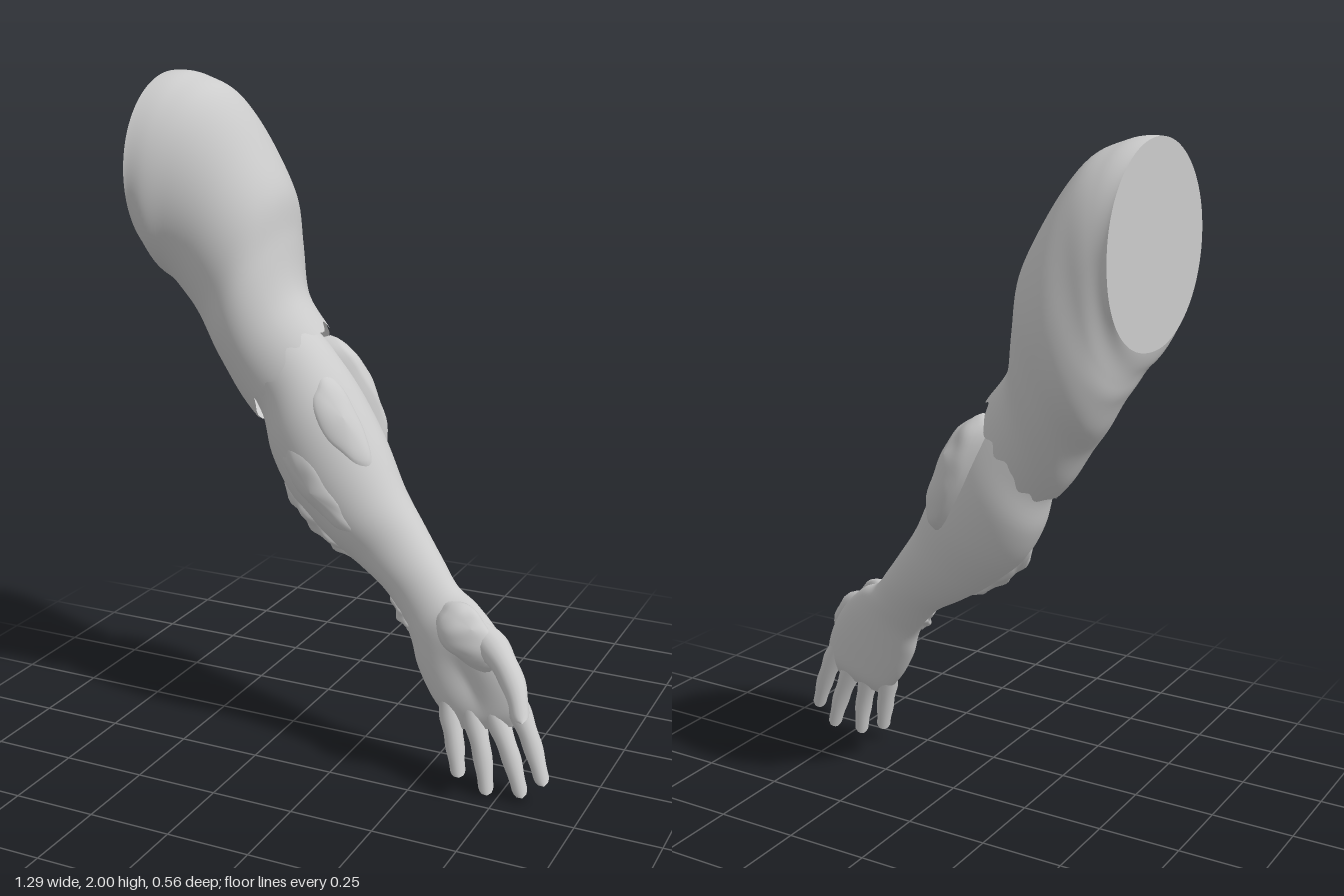
import * as THREE from 'three';

const skin = new THREE.MeshStandardMaterial({ color: 0xcccccc, side: THREE.DoubleSide });

// Cross-sections: outer edge x, y, inner edge x, y, back z, front z,
// x skew of the front, roundness of the inner back (below 1 is squarer)
const UPPER = [
  [-0.625, 1.997, -0.626, 1.44, -0.27, 0.23, -0.022, 0.9],
  [-0.55, 1.987, -0.608, 1.4, -0.27, 0.228, -0.018, 0.85],
  [-0.46, 1.945, -0.585, 1.36, -0.275, 0.2, -0.01, 0.8],
  [-0.36, 1.81, -0.56, 1.305, -0.28, 0.165, 0, 0.8],
  [-0.285, 1.67, -0.52, 1.23, -0.27, 0.15, 0, 0.85],
  [-0.262, 1.53, -0.46, 1.15, -0.24, 0.152, 0, 0.9],
  [-0.225, 1.37, -0.40, 1.06, -0.2, 0.142, 0, 1],
  [-0.14, 1.26, -0.33, 0.98, -0.175, 0.13, 0, 1],
];
const FOREARM = [
  [-0.26, 1.33, -0.38, 1.08, -0.14, 0.1, 0, 1],
  [-0.16, 1.24, -0.325, 0.99, -0.157, 0.11, 0, 1],
  [-0.06, 1.13, -0.29, 0.88, -0.165, 0.14, 0, 1],
  [0.05, 0.97, -0.22, 0.77, -0.14, 0.15, 0, 1],
  [0.13, 0.83, -0.1, 0.67, -0.09, 0.15, 0, 1],
  [0.2, 0.735, 0.0, 0.605, -0.05, 0.14, 0, 1],
  [0.27, 0.65, 0.1, 0.545, -0.01, 0.15, 0, 1],
  [0.33, 0.585, 0.165, 0.48, 0.025, 0.165, 0, 1],
  [0.4, 0.55, 0.205, 0.42, 0.05, 0.185, 0, 1],
  [0.48, 0.475, 0.23, 0.35, 0.07, 0.195, 0, 1],
  [0.54, 0.38, 0.275, 0.27, 0.09, 0.195, 0, 1],
  [0.565, 0.285, 0.325, 0.21, 0.11, 0.185, 0, 1],
  [0.54, 0.225, 0.36, 0.18, 0.14, 0.17, 0, 1],
];

// Smoothly blended cross-section at parameter t
function section(rows, t) {
  const n = rows.length - 1;
  const i = Math.min(Math.floor(t), n - 1), f = t - i;
  const at = (k) => rows[Math.min(Math.max(k, 0), n)];
  return rows[i].map((_, c) => {
    const a = at(i - 1)[c], b = at(i)[c], d = at(i + 1)[c], e = at(i + 2)[c];
    return b + 0.5 * f * (d - a + f * (2 * a - 5 * b + 4 * d - e + f * (3 * (b - d) + e - a)));
  });
}

// Surface point: angle 0 is the outer edge, a quarter turn is the front
function surface(rows, t, a, lift = 0) {
  const [xr, yr, xl, yl, z0, z1, skew, round] = section(rows, t);
  let c = Math.cos(a) / 2, s = Math.sin(a) / 2;
  if (c < 0 && s < 0) {
    c = -((-2 * c) ** round) / 2;
    s = -((-2 * s) ** round) / 2;
  }
  const out = new THREE.Vector3((xr - xl) * c + 2 * skew * s, (yr - yl) * c, (z1 - z0) * s);
  out.setLength(out.length() + lift);
  return out.add(new THREE.Vector3((xr + xl) / 2, (yr + yl) / 2, (z0 + z1) / 2));
}

function meshFrom(name, points, index) {
  const geo = new THREE.BufferGeometry().setFromPoints(points);
  geo.setIndex(index);
  geo.computeVertexNormals();
  const mesh = new THREE.Mesh(geo, skin);
  mesh.name = name;
  return mesh;
}

// Closed tube through the sections; endAt(angle) sets where it stops
function limb(name, rows, rings, sides, endAt, bump) {
  const points = [], index = [];
  for (let i = 0; i <= rings; i++) {
    for (let j = 0; j < sides; j++) {
      const a = (j / sides) * Math.PI * 2, t = (i / rings) * endAt(a);
      points.push(surface(rows, t, a, bump(t, a)));
      if (i === rings) continue;
      const k = (j + 1) % sides, p = i * sides, q = p + sides;
      index.push(p + j, p + k, q + j, p + k, q + k, q + j);
    }
  }
  return meshFrom(name, points, index);
}

// Flat fan across one section
function cap(name, rows, t, sides, forward) {
  const points = [], index = [];
  for (let j = 0; j < sides; j++) {
    points.push(surface(rows, t, (j / sides) * Math.PI * 2));
    const k = (j + 1) % sides;
    index.push(sides, ...(forward ? [j, k] : [k, j]));
  }
  points.push(surface(rows, t, 0).add(surface(rows, t, Math.PI)).multiplyScalar(0.5));
  return meshFrom(name, points, index);
}

// Raised, uneven flap of skin lying on the forearm
function flap(name, t, a, rt, ra, height, rough, slant = 0) {
  const rings = 10, sides = 40, points = [], index = [];
  for (let i = 0; i <= rings; i++) {
    const r = i / rings;
    for (let j = 0; j < sides; j++) {
      const p = (j / sides) * Math.PI * 2;
      const rim = r * (1 + 0.09 * Math.sin(3 * p + t) + rough * 0.12 * Math.sin(7 * p + a));
      const dt = rim * rt * Math.sin(p), da = rim * ra * Math.cos(p) + slant * dt;
      const lump = 1 + rough * 0.4 * Math.sin(dt * 9 + 1) * Math.cos(da * 8);
      points.push(surface(FOREARM, t + dt, a + da, height * Math.sqrt(1 - r ** 3) * lump - 0.008 * r));
      if (i === rings) continue;
      const k = (j + 1) % sides, q = i * sides, n = q + sides;
      index.push(q + j, n + j, q + k, q + k, n + j, n + k);
    }
  }
  return meshFrom(name, points, index);
}

// Tapered finger, rounded at the tip and at the root buried in the palm
function finger(name, path, r0, r1) {
  const curve = new THREE.CatmullRomCurve3(path.map((p) => new THREE.Vector3(...p)));
  const steps = 36, sides = 16;
  const geo = new THREE.TubeGeometry(curve, steps, 1, sides);
  const pos = geo.attributes.position, v = new THREE.Vector3();
  const round = (d) => Math.sqrt(1 - Math.max(0, 1 - d) ** 2);
  for (let i = 0; i <= steps; i++) {
    const u = i / steps, c = curve.getPointAt(u);
    const knuckle = 1 + 0.05 * Math.cos(u * Math.PI * 6);
    const r = (r0 + (r1 - r0) * u) * knuckle * round(u / 0.35) * round((1 - u) / 0.1);
    for (let j = 0; j <= sides; j++) {
      const k = i * (sides + 1) + j;
      v.fromBufferAttribute(pos, k).sub(c).multiplyScalar(r).add(c);
      pos.setXYZ(k, v.x, v.y, v.z);
    }
  }
  const mesh = new THREE.Mesh(geo, skin);
  mesh.name = name;
  return mesh;
}

export function createModel() {
  const arm = new THREE.Group();
  arm.name = 'arm';

  // Upper arm with a ragged lower edge and a flat shoulder end
  const torn = (a) => 6.8 + 0.1 * Math.sin(5 * a + 1) + 0.08 * Math.sin(11 * a) + 0.06 * Math.sin(17 * a + 2);
  const muscle = (t, a) => 0.004 * Math.sin(t * 2.2) * Math.cos(2 * a + t);
  arm.add(limb('upperArm', UPPER, 48, 96, torn, muscle));
  arm.add(cap('shoulderEnd', UPPER, 0, 96, false));

  // Forearm running into the palm
  const last = FOREARM.length - 1;
  const hollow = (t, a) => -0.02 * Math.exp(-((t - 9.8) ** 2)) * Math.max(0, Math.sin(a)) ** 6;
  arm.add(limb('forearmAndPalm', FOREARM, 72, 64, () => last, hollow));
  arm.add(cap('palmEnd', FOREARM, last, 64, true));

  // Loose flaps of skin
  arm.add(flap('elbowFlap', 2.05, -0.8, 1.2, 0.45, 0.052, 0.15, -0.2));
  arm.add(flap('outerFlap', 2.45, 0.65, 0.85, 0.42, 0.015, 0.15));
  arm.add(flap('frontFlap', 3.15, 1.8, 1.15, 0.36, 0.01, 0.4, -0.1));
  arm.add(flap('undersideFlap', 3.7, 2.85, 1.2, 0.4, 0.02, 1));
  arm.add(flap('wristFlap', 7.0, 2.8, 0.7, 0.4, 0.014, 1));
  arm.add(flap('thumbBaseFlap', 8.4, 0.95, 1.2, 0.6, 0.046, 0.1, 0.05));

  // Thumb and four fingers
  const hand = new THREE.Group();
  hand.name = 'fingers';
  hand.add(finger('thumb', [[0.38, 0.5, 0.13], [0.475, 0.455, 0.17], [0.553, 0.38, 0.22], [0.595, 0.292, 0.265]], 0.054, 0.024));
  const digits = [
    ['indexFinger', [0.5, 0.36, 0.14], [0.585, 0.19, 0.155], [0.635, 0.065, 0.175]],
    ['middleFinger', [0.44, 0.32, 0.145], [0.525, 0.14, 0.16], [0.57, 0.01, 0.17]],
    ['ringFinger', [0.385, 0.31, 0.145], [0.445, 0.13, 0.17], [0.469, 0.003, 0.185]],
    ['littleFinger', [0.325, 0.3, 0.145], [0.36, 0.15, 0.17], [0.382, 0.04, 0.185]],
  ];
  for (const [name, ...path] of digits) hand.add(finger(name, path, 0.038, 0.021));
  arm.add(hand);
  return arm;
}
